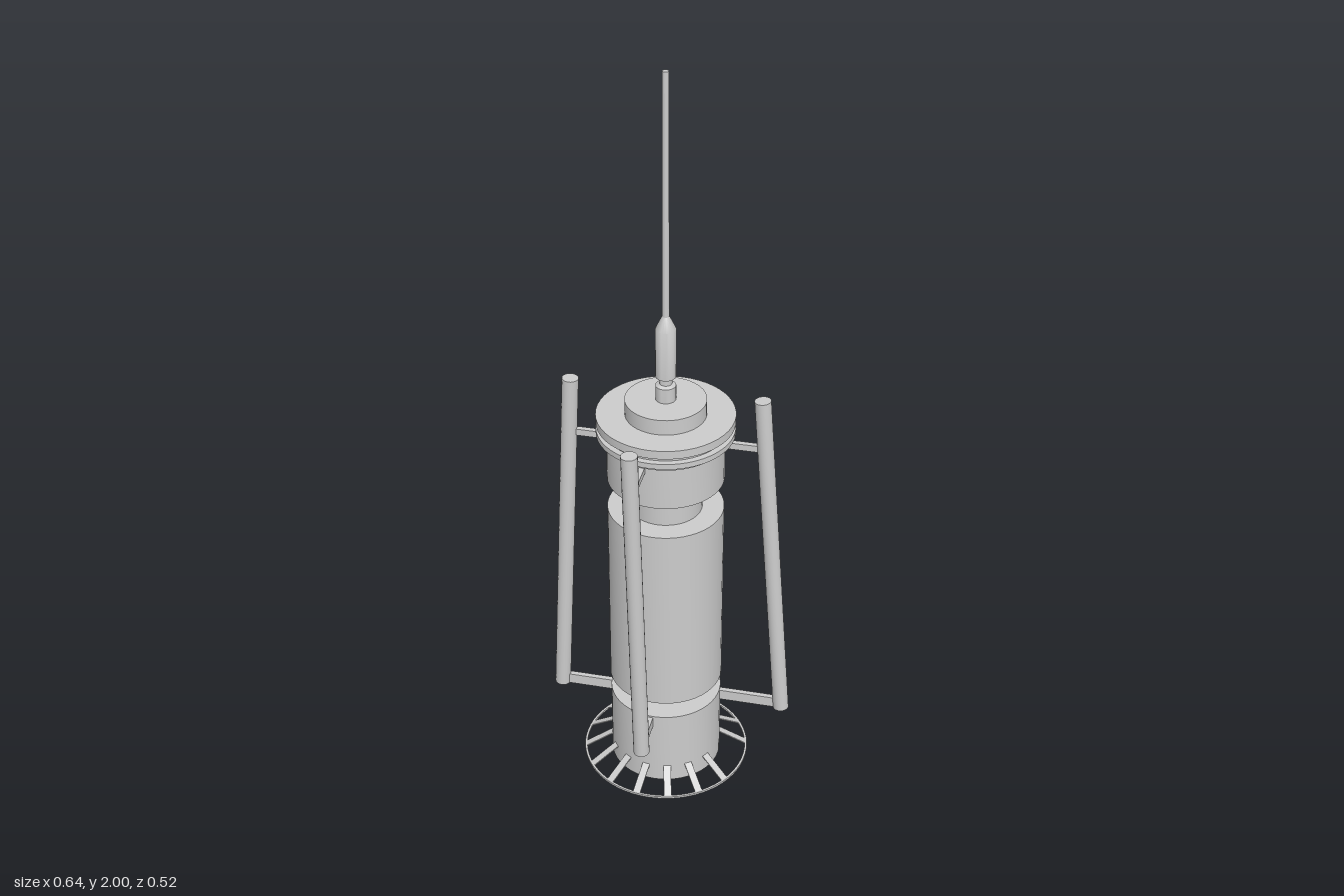
import * as THREE from 'three';
import { toCreasedNormals } from 'three/addons/utils/BufferGeometryUtils.js';

const CX = -0.017, CZ = -0.035; // vertical axis of the body

export function createModel() {
  const group = new THREE.Group();
  const material = new THREE.MeshStandardMaterial({ color: 0xcccccc });

  const add = (name, geometry, parent = group) => {
    const mesh = new THREE.Mesh(geometry, material);
    mesh.name = name;
    parent.add(mesh);
    return mesh;
  };

  // Turned part around the body axis, profile given as [radius, height]
  const turned = (name, profile, segments = 48) => {
    const points = profile.map(([r, y]) => new THREE.Vector2(r, y));
    const geometry = toCreasedNormals(new THREE.LatheGeometry(points, segments), 0.6);
    add(name, geometry).position.set(CX, 0, CZ);
  };

  // Closed cylinder between two points
  const rod = (name, a, b, radius, parent) => {
    const dir = b.clone().sub(a);
    const mesh = add(name, new THREE.CylinderGeometry(radius, radius, dir.length(), 20), parent);
    mesh.position.copy(a).add(b).multiplyScalar(0.5);
    mesh.quaternion.setFromUnitVectors(new THREE.Vector3(0, 1, 0), dir.normalize());
  };

  // Flat bar between two points at the same height
  const bar = (name, a, b, width, height, parent) => {
    const mesh = add(name, new THREE.BoxGeometry(width, height, a.distanceTo(b)), parent);
    mesh.position.copy(a).add(b).multiplyScalar(0.5);
    mesh.lookAt(b);
  };

  // Body from bottom to top
  turned('base', [[0, 0], [0.148, 0], [0.148, 0.22], [0, 0.22]]);
  turned('lowerNeck', [[0.075, 0.215], [0.075, 0.23], [0.068, 0.23], [0.068, 0.24],
    [0.075, 0.24], [0.075, 0.25], [0.105, 0.255], [0.105, 0.275]]);
  turned('mainCylinder', [[0, 0.27], [0.15, 0.27], [0.15, 0.81], [0, 0.81]]);
  turned('upperNeck', [[0.094, 0.8], [0.094, 0.91]]);
  turned('collar', [[0, 0.9], [0.15, 0.9], [0.15, 1.015], [0.158, 1.02], [0.158, 1.035], [0, 1.035]]);
  turned('flanges', [[0, 1.035], [0.176, 1.035], [0.176, 1.05], [0.16, 1.05], [0.16, 1.065],
    [0.176, 1.065], [0.176, 1.088], [0, 1.088]]);
  turned('cap', [[0.103, 1.085], [0.103, 1.13], [0, 1.13]]);

  // Antenna with its socket, grip and mast
  turned('antennaSocket', [[0.026, 1.125], [0.026, 1.17], [0.016, 1.175], [0.016, 1.2]], 24);
  turned('antennaGrip', [[0, 1.195], [0.026, 1.195], [0.026, 1.33], [0.009, 1.365], [0, 1.365]], 24);
  turned('antennaMast', [[0.009, 1.36], [0.008, 2], [0, 2]], 16);

  // Three slanted tubes, each held by a lower and an upper bar
  const tubes = [
    { name: 'leftTube', low: [0.299, 0.185, -0.045], high: [0.226, 1.15, -0.045] },
    { name: 'rightTube', low: [-0.304, 0.185, -0.022], high: [-0.258, 1.165, -0.022] },
    { name: 'frontTube', low: [-0.026, 0.185, 0.216], high: [-0.045, 1.13, 0.237] },
  ];
  for (const { name, low, high } of tubes) {
    const part = new THREE.Group();
    part.name = name;
    group.add(part);
    const a = new THREE.Vector3(...low), b = new THREE.Vector3(...high);
    rod('tube', a, b, 0.021, part);
    for (const [label, y, height] of [['lowerBar', 0.2, 0.03], ['upperBar', 1.01, 0.018]]) {
      const outer = a.clone().lerp(b, (y - a.y) / (b.y - a.y));
      const inner = outer.clone();
      if (name === 'frontTube') inner.z = CZ + 0.12;
      else inner.x = CX + Math.sign(outer.x) * 0.12;
      bar(label, inner, outer, 0.014, height, part);
    }
  }

  // Thin ground ring
  turned('groundRing', [[0.218, 0], [0.224, 0], [0.224, 0.006], [0.218, 0.006], [0.218, 0]], 64);

  // Sloping spokes from the base to the ground ring, with one gap
  const slope = Math.atan2(0.045, 0.074);
  for (let i = 1; i < 16; i++) {
    const pivot = new THREE.Group();
    pivot.name = 'spoke';
    pivot.position.set(CX, 0, CZ);
    pivot.rotation.y = -THREE.MathUtils.degToRad(8.5 + i * 22.5);
    const plate = add('spokePlate', new THREE.BoxGeometry(0.087, 0.003, 0.02), pivot);
    plate.position.set(0.183, 0.026, 0);
    plate.rotation.z = -slope;
    group.add(pivot);
  }

  return group;
}
